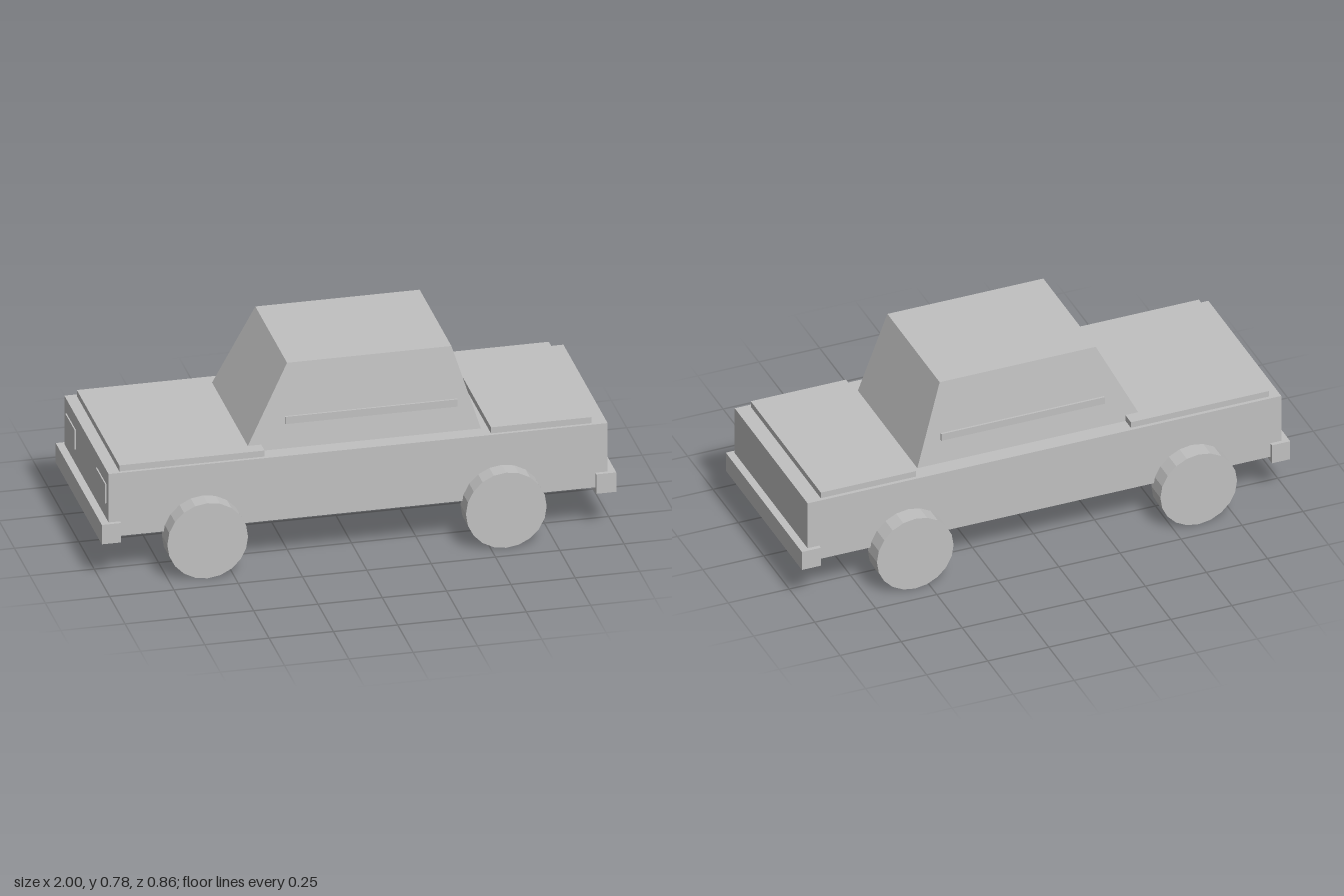
import * as THREE from 'three';

export function createModel() {
  const car = new THREE.Group();
  car.name = 'car';
  const paint = new THREE.MeshStandardMaterial({ color: 0xc0c0c0 });
  paint.name = 'light grey';

  const add = (name, geometry) => {
    const mesh = new THREE.Mesh(geometry, paint);
    mesh.name = name;
    car.add(mesh);
    return mesh;
  };
  // Box given by its limits on each axis
  const box = (name, [x0, x1], [y0, y1], [z0, z1]) =>
    add(name, new THREE.BoxGeometry(x1 - x0, y1 - y0, z1 - z0)
      .translate((x0 + x1) / 2, (y0 + y1) / 2, (z0 + z1) / 2));

  // Lower body with raised hood and trunk lids
  box('body', [-0.97, 0.97], [0.18, 0.443], [-0.358, 0.358]);
  box('hood', [-0.925, -0.36], [0.44, 0.468], [-0.344, 0.344]);
  box('trunkLid', [0.52, 0.91], [0.44, 0.468], [-0.344, 0.344]);

  // Bumpers
  box('frontBumper', [-1, -0.925], [0.16, 0.241], [-0.374, 0.374]);
  box('rearBumper', [0.922, 1], [0.16, 0.241], [-0.374, 0.374]);

  // Cabin: a box tapered towards the roof
  const cabin = new THREE.BoxGeometry(1, 1, 1);
  const p = cabin.attributes.position;
  for (let i = 0; i < p.count; i++) {
    const top = p.getY(i) > 0;
    const rear = p.getX(i) > 0;
    const x = top ? (rear ? 0.387 : -0.252) : (rear ? 0.493 : -0.425);
    p.setXYZ(i, x, top ? 0.783 : 0.443, Math.sign(p.getZ(i)) * (top ? 0.257 : 0.292));
  }
  cabin.computeVertexNormals();
  add('cabin', cabin);

  // Side trim, headlights and wheels, mirrored across the car
  const tyre = new THREE.CylinderGeometry(0.157, 0.157, 0.09, 20)
    .rotateX(Math.PI / 2).toNonIndexed();
  tyre.computeVertexNormals();
  for (const s of [1, -1]) {
    const side = s > 0 ? 'left' : 'right';
    const span = (a, b) => (s > 0 ? [a, b] : [-b, -a]);
    box(side + 'SideTrim', [-0.27, 0.4], [0.55, 0.58], span(0.296, 0.304));
    box(side + 'Headlight', [-0.975, -0.968], [0.305, 0.385], span(0.17, 0.322));
    for (const [end, x] of [['Front', -0.602], ['Rear', 0.559]]) {
      add(side + end + 'Wheel', tyre).position.set(x, 0.157, s * 0.385);
    }
  }
  return car;
}
